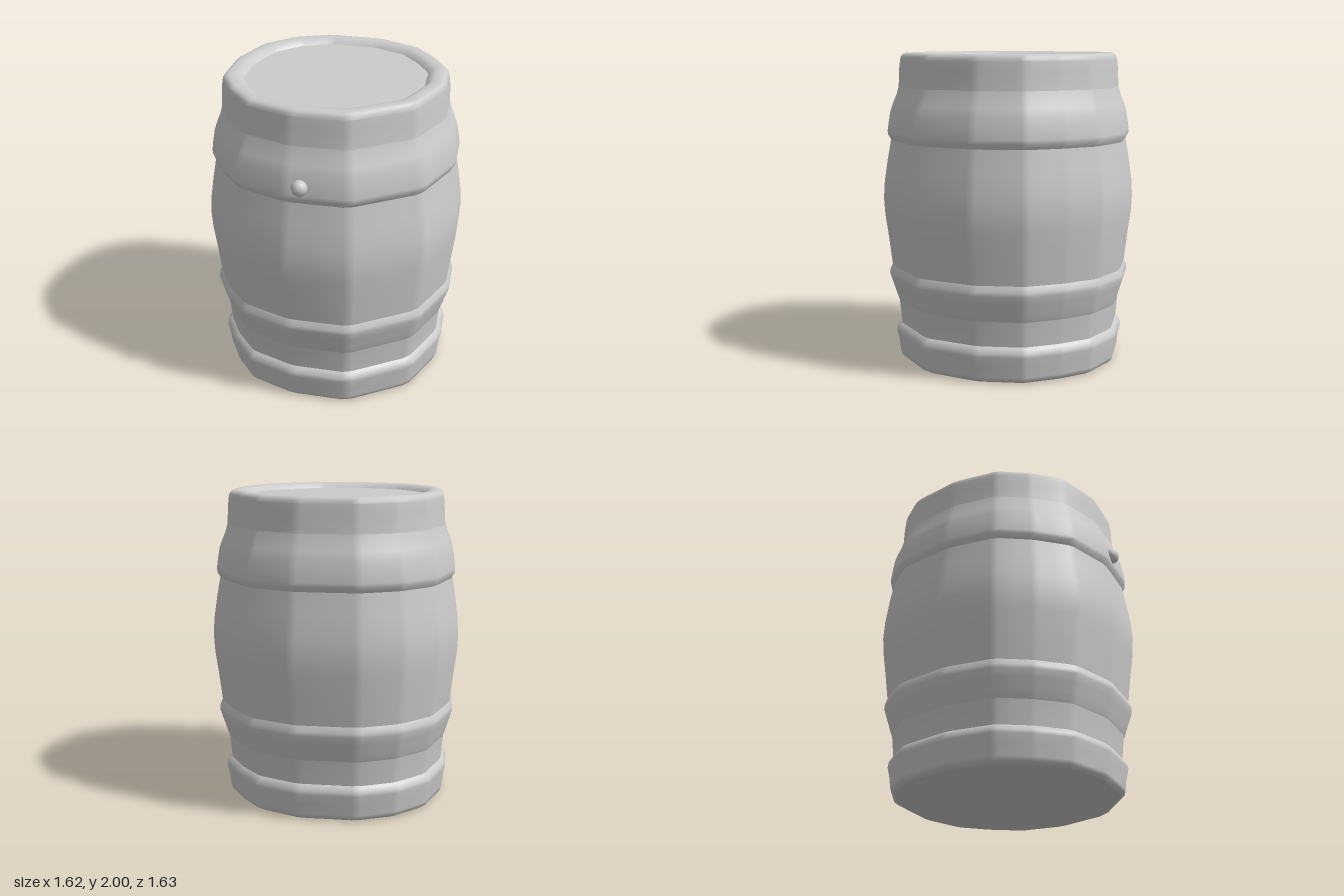
import * as THREE from 'three';

const material = new THREE.MeshStandardMaterial({ color: 0xcccccc });

// Uneven stave outline at the belly, as [x, z], counterclockwise from above
const corners = [
  [-0.25, 0.81], [0.25, 0.81], [0.6, 0.57], [0.78, 0.29], [0.805, 0.02],
  [0.785, -0.23], [0.62, -0.51], [0.28, -0.765], [0, -0.82], [-0.28, -0.765],
  [-0.59, -0.52], [-0.785, -0.23], [-0.81, 0.02], [-0.785, 0.29], [-0.58, 0.58],
];

// Softened corners: three points on each side of the outline
const outline = corners.flatMap((p, i) => {
  const q = corners[(i + 1) % corners.length];
  return [0.08, 0.5, 0.92].map((t) => [p[0] + (q[0] - p[0]) * t, p[1] + (q[1] - p[1]) * t]);
});

// Sweeps a [radius, y] profile around the outline; radius 0.8 is the belly
function loft(name, profile) {
  const n = outline.length;
  const positions = [];
  const index = [];
  profile.forEach(([r, y], i) => {
    outline.forEach(([x, z], j) => {
      positions.push((x * r) / 0.8, y, (z * r) / 0.8);
      if (i === profile.length - 1) return;
      const a = i * n + j;
      const b = i * n + ((j + 1) % n);
      index.push(a, b, b + n, a, b + n, a + n);
    });
  });
  const geometry = new THREE.BufferGeometry();
  geometry.setAttribute('position', new THREE.Float32BufferAttribute(positions, 3));
  geometry.setIndex(index);
  geometry.computeVertexNormals();
  const mesh = new THREE.Mesh(geometry, material);
  mesh.name = name;
  return mesh;
}

export function createModel() {
  const barrel = new THREE.Group();
  barrel.name = 'barrel';

  // Bulging staves
  barrel.add(loft('staves', [
    [0.68, 0.02], [0.7, 0.22], [0.715, 0.38], [0.735, 0.5], [0.755, 0.63], [0.775, 0.8],
    [0.795, 0.95], [0.802, 1.06], [0.795, 1.17], [0.775, 1.31], [0.752, 1.44], [0.735, 1.58],
    [0.715, 1.7], [0.7, 1.78], [0.695, 1.9], [0.688, 1.96],
  ]));

  // Hoops, each a rounded band
  barrel.add(loft('baseHoop', [
    [0.68, 0], [0.705, 0.015], [0.712, 0.04], [0.72, 0.11], [0.733, 0.17], [0.73, 0.195],
    [0.715, 0.22], [0.695, 0.235],
  ]));
  barrel.add(loft('lowerHoop', [
    [0.712, 0.38], [0.724, 0.405], [0.738, 0.45], [0.757, 0.51], [0.772, 0.56], [0.77, 0.585],
    [0.757, 0.615], [0.75, 0.63],
  ]));
  barrel.add(loft('upperHoop', [
    [0.748, 1.435], [0.755, 1.45], [0.77, 1.475], [0.772, 1.5], [0.764, 1.56], [0.752, 1.63],
    [0.735, 1.68], [0.715, 1.73], [0.698, 1.79],
  ]));

  // Rolled rim and the sunken lid
  barrel.add(loft('rim', [
    [0.688, 1.95], [0.685, 1.975], [0.672, 1.992], [0.65, 2], [0.61, 1.998], [0.585, 1.99],
    [0.565, 1.972], [0.555, 1.96],
  ]));
  barrel.add(loft('lid', [[0.56, 1.965], [0, 1.965]]));
  barrel.add(loft('bottom', [[0, 0], [0.68, 0]]));

  // Small stud on the upper hoop
  const stud = new THREE.Mesh(new THREE.SphereGeometry(0.05, 12, 8), material);
  stud.name = 'stud';
  stud.position.set(-0.48, 1.55, 0.61);
  barrel.add(stud);

  return barrel;
}
